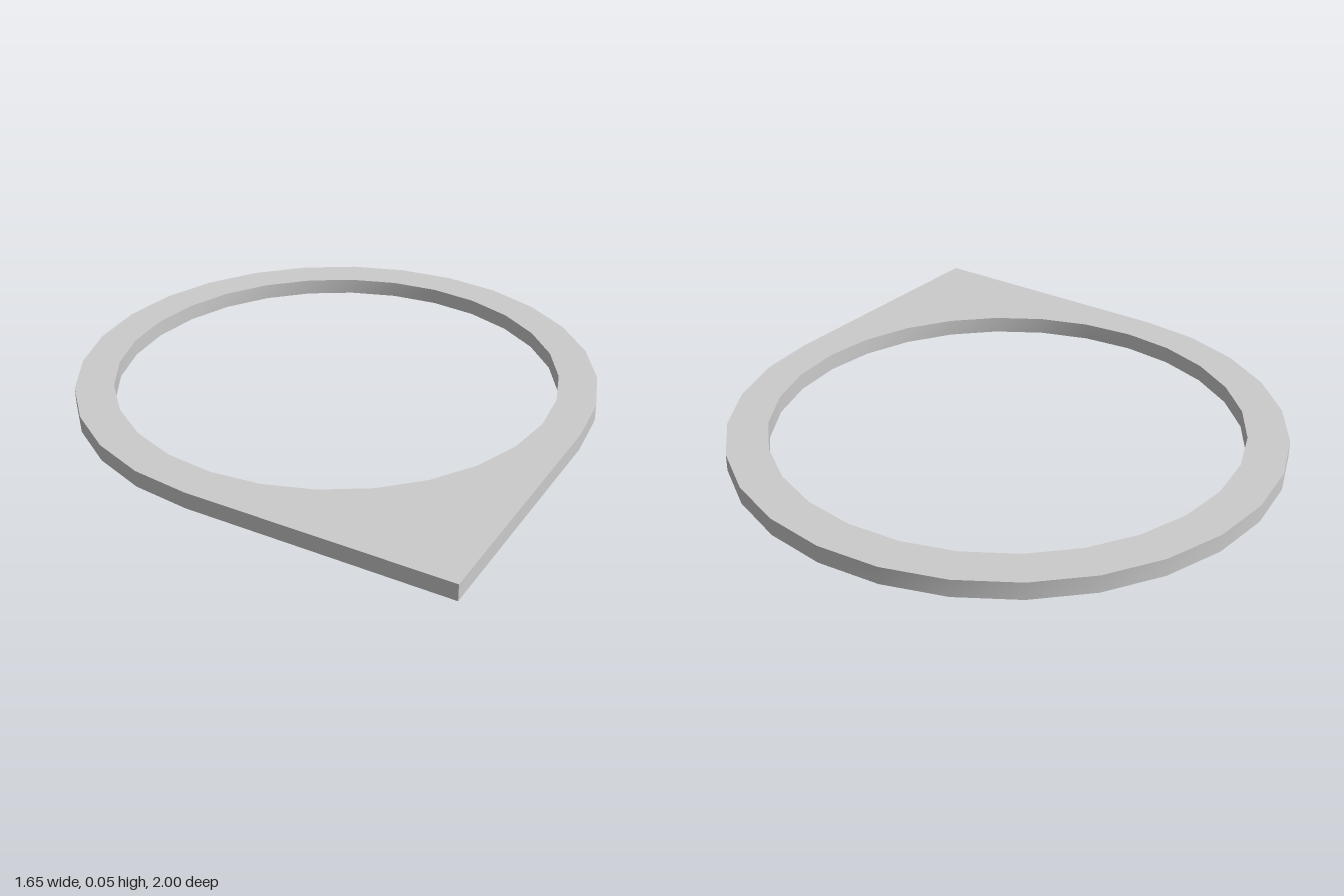
import * as THREE from 'three';
import { toCreasedNormals } from 'three/addons/utils/BufferGeometryUtils.js';

const STEP = (Math.PI * 2) / 28; // 28-sided ring
const OUTER = 0.8306;
const INNER = 0.709;
const HEIGHT = 0.052;
const CENTRE = 0.1746; // ring centre, behind the origin

// Points along an arc of the ring, starting at angle `start`
function arc(radius, start, count) {
  return Array.from({ length: count }, (_, i) => {
    const a = start + i * STEP;
    return new THREE.Vector2(radius * Math.cos(a), CENTRE + radius * Math.sin(a));
  });
}

// Upright wall around a closed loop, facing right of the direction of travel
function wall(loop) {
  const positions = [];
  loop.forEach((a, i) => {
    const b = loop[(i + 1) % loop.length];
    positions.push(
      a.x, a.y, 0, b.x, b.y, 0, b.x, b.y, HEIGHT,
      a.x, a.y, 0, b.x, b.y, HEIGHT, a.x, a.y, HEIGHT
    );
  });
  const geometry = new THREE.BufferGeometry();
  geometry.setAttribute('position', new THREE.Float32BufferAttribute(positions, 3));
  return toCreasedNormals(geometry, Math.PI / 6);
}

export function createModel() {
  const group = new THREE.Group();
  group.name = 'pointedRing';
  const material = new THREE.MeshStandardMaterial({ color: 0xcccccc, side: THREE.DoubleSide });

  // Shapes are drawn flat, then laid down with the tip towards the front
  const add = (name, geometry) => {
    const mesh = new THREE.Mesh(geometry.rotateX(-Math.PI / 2), material);
    mesh.name = name;
    group.add(mesh);
  };

  // Teardrop outline: three quarters of a circle, closed by tangents to a tip
  const outline = [
    ...arc(OUTER, -Math.PI / 4, 22),
    new THREE.Vector2(0, CENTRE - OUTER * Math.SQRT2),
  ];
  const opening = arc(INNER, STEP / 2, 28).reverse();

  // Top plate with round opening; the underside is left open
  const plate = new THREE.Shape(outline);
  plate.holes.push(new THREE.Path(opening));
  add('topPlate', new THREE.ShapeGeometry(plate).translate(0, 0, HEIGHT));

  add('outerWall', wall(outline));
  add('innerWall', wall(opening));
  return group;
}
